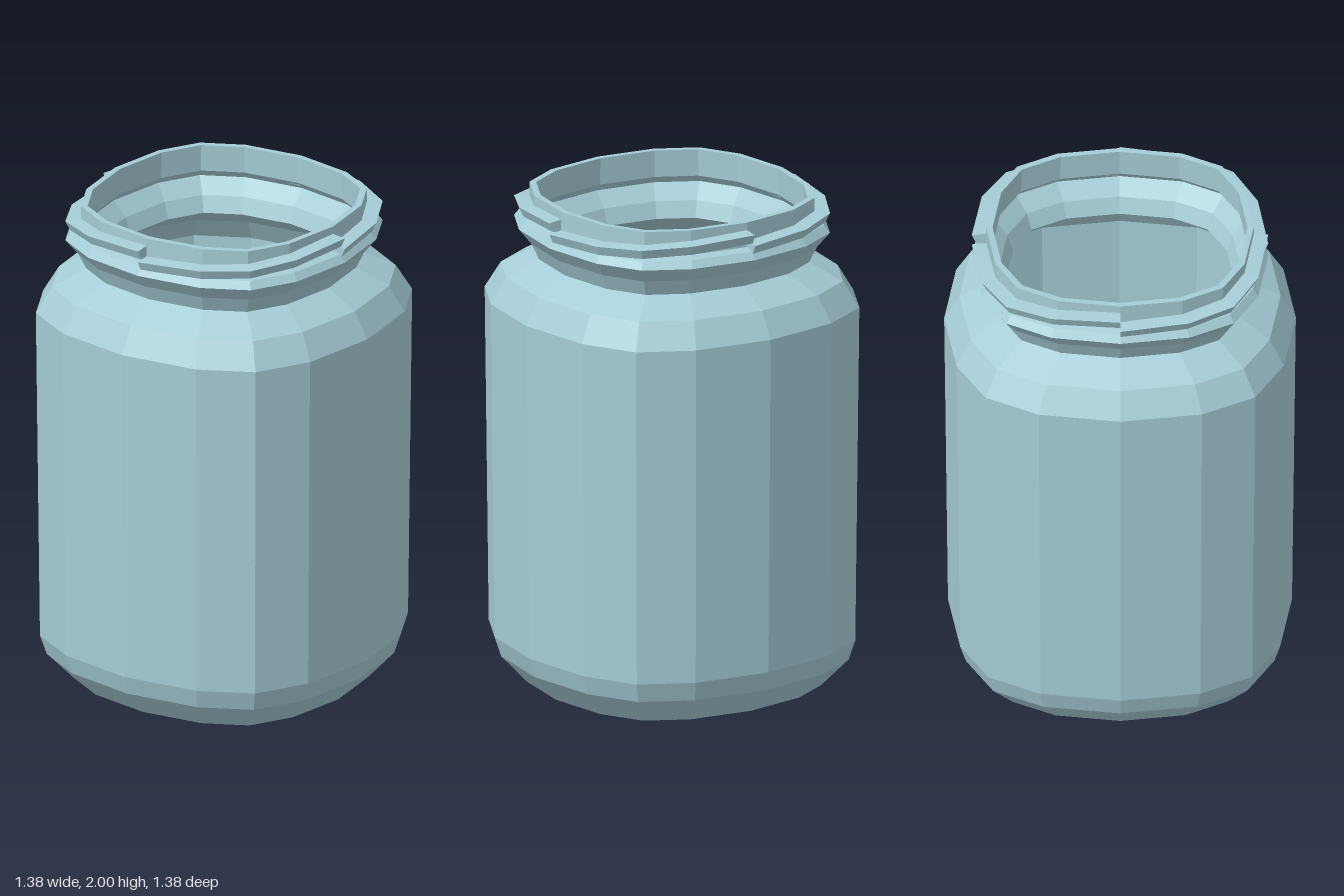
import * as THREE from 'three';

const SIDES = 16;
const glass = new THREE.MeshStandardMaterial({ color: 0xa6cdd7, flatShading: true });

// Rounded-square cross-section: radius 1 on the axes, fuller on the diagonals
const FACTORS = [1, 1.04, 1.085, 1.04];
function ringPoint(i, r, y) {
  const a = (i / SIDES) * Math.PI * 2;
  // the two points beside a diagonal sit slightly nearer to it
  const skew = [0, 0.07, 0, -0.07][i % 4];
  const k = r * FACTORS[i % 4];
  return [k * Math.sin(a + skew), y, k * Math.cos(a + skew)];
}

function makeMesh(name, positions, index) {
  const indexed = new THREE.BufferGeometry();
  indexed.setAttribute('position', new THREE.Float32BufferAttribute(positions, 3));
  indexed.setIndex(index);
  const geometry = indexed.toNonIndexed();
  geometry.computeVertexNormals();
  const mesh = new THREE.Mesh(geometry, glass);
  mesh.name = name;
  return mesh;
}

// Sweep a [radius, height] profile around the cross-section
function shell(name, profile) {
  const positions = [], index = [];
  for (const [r, y] of profile)
    for (let i = 0; i < SIDES; i++) positions.push(...ringPoint(i, r, y));
  for (let j = 0; j < profile.length - 1; j++)
    for (let i = 0; i < SIDES; i++) {
      const n = (i + 1) % SIDES;
      const a = j * SIDES + i, b = j * SIDES + n;
      const c = a + SIDES, d = b + SIDES;
      if (profile[j][0] > 0) index.push(a, b, d);
      if (profile[j + 1][0] > 0) index.push(a, d, c);
    }
  return makeMesh(name, positions, index);
}

// Quarter-turn raised ridge that climbs around the neck
function threadRidge(name, start) {
  const positions = [], index = [], steps = SIDES / 4;
  for (let s = 0; s <= steps; s++) {
    const y = 1.9 + (0.045 * s) / steps;
    const section = [[0.515, y - 0.025], [0.565, y - 0.02], [0.582, y + 0.018], [0.515, y + 0.025]];
    for (const [r, h] of section) positions.push(...ringPoint(start + s, r, h));
  }
  for (let s = 0; s < steps; s++)
    for (let k = 0; k < 4; k++) {
      const n = (k + 1) % 4;
      const a = s * 4 + k, b = a + 4, c = s * 4 + n, d = c + 4;
      index.push(a, b, d, a, d, c);
    }
  // blunt ends
  const e = steps * 4;
  index.push(0, 1, 2, 0, 2, 3, e, e + 2, e + 1, e, e + 3, e + 2);
  return makeMesh(name, positions, index);
}

export function createModel() {
  const jar = new THREE.Group();
  jar.name = 'jar';

  // Base, wall and shoulder
  jar.add(shell('body', [
    [0, 0], [0.55, 0], [0.65, 0.11], [0.675, 0.19],
    [0.69, 1.56], [0.63, 1.665], [0.505, 1.735],
  ]));

  // Neck with its flared collar, up to the flat rim
  jar.add(shell('neck', [
    [0.505, 1.735], [0.535, 1.8], [0.582, 1.86], [0.56, 1.89],
    [0.525, 1.9], [0.525, 2], [0.5, 2],
  ]));

  // Inside surface, from the rim down to the floor
  jar.add(shell('interior', [
    [0.5, 2], [0.505, 1.89], [0.53, 1.86], [0.475, 1.8], [0.45, 1.735],
    [0.6, 1.64], [0.655, 1.55], [0.64, 0.2], [0.615, 0.13], [0.52, 0.04], [0, 0.04],
  ]));

  // Four screw ridges
  for (let q = 0; q < 4; q++) jar.add(threadRidge('threadRidge' + (q + 1), (q * SIDES) / 4));

  return jar;
}
